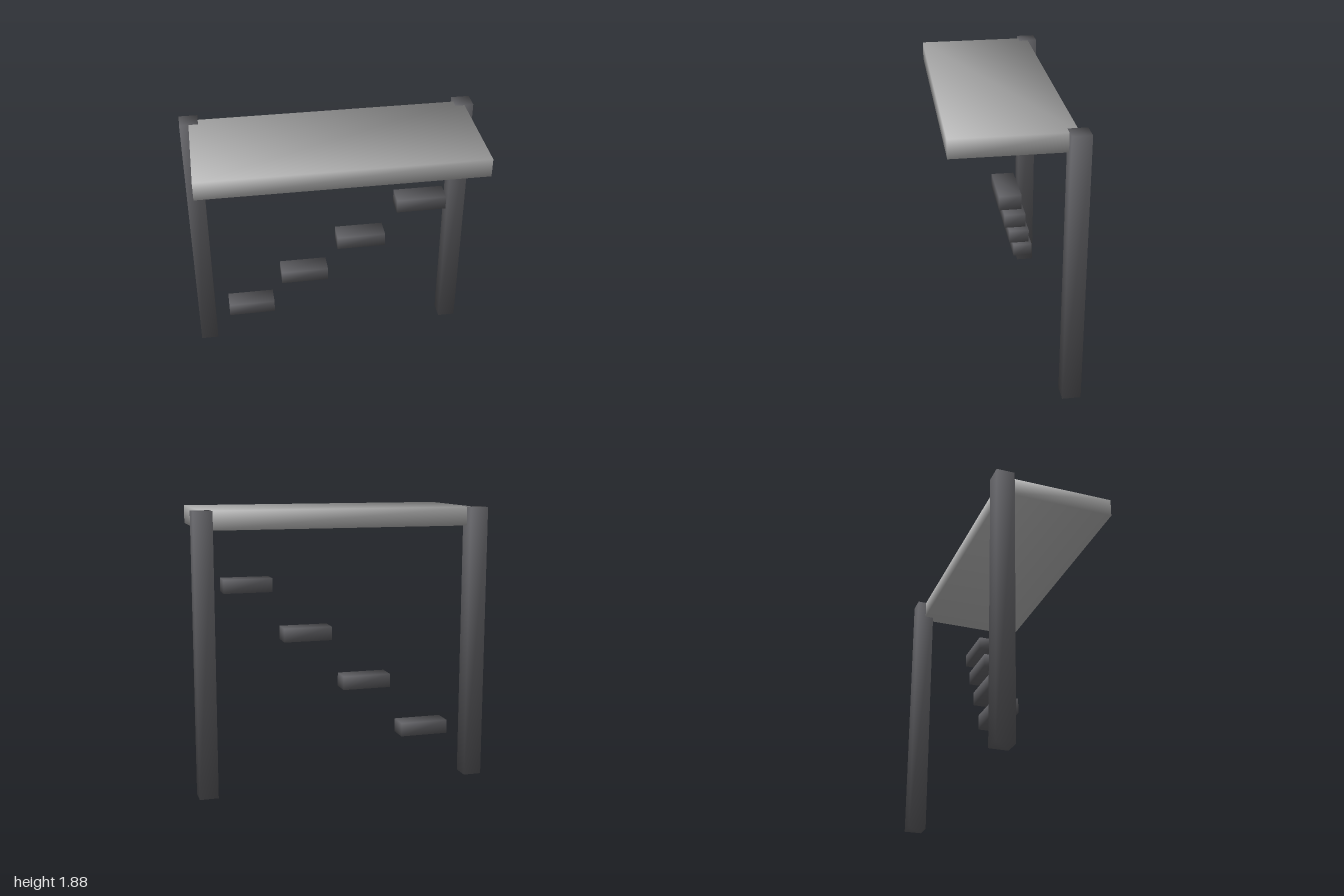
import * as THREE from 'three';

const slabMaterial = new THREE.MeshStandardMaterial({ color: 0xbbbbbb });
const darkMaterial = new THREE.MeshStandardMaterial({ color: 0x626266 });

// Box whose corner normals point straight out along the diagonals, for soft shading
function softBox(name, size, position, material) {
  const geometry = new THREE.BoxGeometry(...size);
  const { position: corners, normal } = geometry.attributes;
  const n = new THREE.Vector3();
  for (let i = 0; i < corners.count; i++) {
    n.set(Math.sign(corners.getX(i)), Math.sign(corners.getY(i)), Math.sign(corners.getZ(i))).normalize();
    normal.setXYZ(i, n.x, n.y, n.z);
  }
  const mesh = new THREE.Mesh(geometry, material);
  mesh.name = name;
  mesh.position.set(...position);
  return mesh;
}

export function createModel() {
  const model = new THREE.Group();
  model.name = 'platformWithSteps';

  // Platform slab
  model.add(softBox('platform', [1.876, 0.125, 0.78], [0, 1.8145, 0.031], slabMaterial));

  // Two posts at the back corners, a hair taller than the slab
  for (const side of [-1, 1]) {
    model.add(softBox(side > 0 ? 'leftPost' : 'rightPost',
      [0.125, 1.878, 0.125], [side * 0.9375, 0.939, -0.3595], darkMaterial));
  }

  // Floating steps climbing to the left and forward
  const steps = new THREE.Group();
  steps.name = 'steps';
  for (let i = 0; i < 4; i++) {
    steps.add(softBox(`step${i + 1}`, [0.338, 0.094, 0.141],
      [-0.601 + i * 0.394, 0.339 + i * 0.337, -0.265 + i * 0.095], darkMaterial));
  }
  model.add(steps);

  return model;
}
